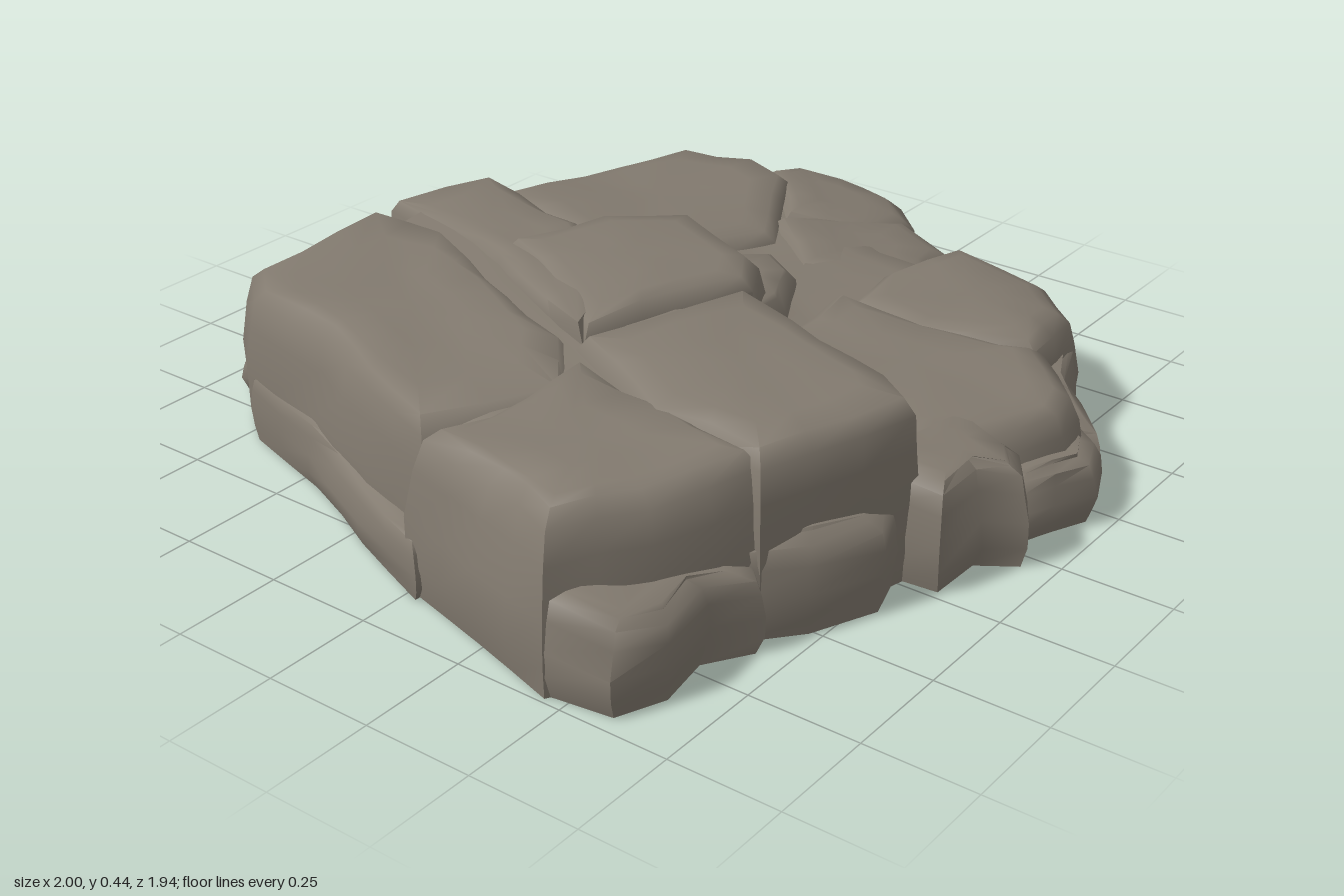
import * as THREE from 'three';
import { mergeVertices, toCreasedNormals } from 'three/addons/utils/BufferGeometryUtils.js';

const stone = new THREE.MeshStandardMaterial({ color: 0x827a6f });
stone.name = 'greyBrownStone';

// Smooth, repeatable unevenness in about -1..1
const wave = (x, y, z) =>
  0.5 * Math.sin(7.1 * x + 3.3 * z + 5.0 * y + 1.0) +
  0.3 * Math.sin(-6.3 * x + 11.7 * z + 9.0 * y) +
  0.2 * Math.sin(17.0 * x + 13.0 * z - 12.0 * y + 2.0);

// A block of stone: stacked rings around an outline of [x, z] points.
// h is the height at the middle, sx and sz tilt the top, lean draws the top in.
function block(name, outline, h, sx = 0, sz = 0, lean = 0) {
  const n0 = outline.length;
  let area = 0, cx = 0, cz = 0;
  outline.forEach(([x, z], i) => {
    const [u, v] = outline[(i + 1) % n0];
    const c = x * v - u * z;
    area += c; cx += (x + u) * c; cz += (z + v) * c;
  });
  cx /= 3 * area; cz /= 3 * area;
  const pts = area > 0 ? outline.slice().reverse() : outline;

  // Split every side so that the stone can bulge
  const ring = [];
  pts.forEach(([x, z], i) => {
    const [u, v] = pts[(i + 1) % n0];
    const parts = Math.max(1, Math.round(Math.hypot(u - x, v - z) / 0.13));
    for (let k = 0; k < parts; k++) ring.push([x + (u - x) * k / parts, z + (v - z) * k / parts]);
  });
  const n = ring.length;
  const topAt = (x, z) => h + sx * (x - cx) + sz * (z - cz) + 0.014 * wave(x, h, z);

  // [inset, share of the height, drop]
  const levels = [[0.012, 0, 0], [0, 0.2, 0], [-0.004, 0.45, 0], [0.006, 0.72, 0],
    [0.016, 0.9, 0], [0.045, 1, 0.008]];
  const pos = [], idx = [];
  const put = (x, y, z) => pos.push(x, Math.max(0, y), z);
  levels.forEach(([inset, share, drop]) => {
    for (const [x, z] of ring) {
      const d = Math.hypot(x - cx, z - cz);
      const bump = share > 0 ? 0.014 * wave(x * 1.6, share * 0.6, z * 1.6) : 0;
      const s = 1 - (inset + bump + lean * share) / d;
      const px = cx + (x - cx) * s, pz = cz + (z - cz) * s;
      put(px, share * topAt(px, pz) - drop, pz);
    }
  });
  for (const t of [0.66, 0.33]) {
    for (const [x, z] of ring) {
      const px = cx + (x - cx) * t, pz = cz + (z - cz) * t;
      put(px, topAt(px, pz), pz);
    }
  }
  const rows = levels.length + 2;
  for (let r = 0; r < rows - 1; r++) {
    for (let i = 0; i < n; i++) {
      const a = r * n + i, b = r * n + (i + 1) % n;
      idx.push(a, b, b + n, a, b + n, a + n);
    }
  }
  // Top and bottom caps
  const top = rows * n;
  put(cx, topAt(cx, cz), cz);
  put(cx, 0.004, cz);
  for (let i = 0; i < n; i++) {
    const j = (i + 1) % n;
    idx.push(top, (rows - 1) * n + i, (rows - 1) * n + j, top + 1, j, i);
  }
  const g = new THREE.BufferGeometry();
  g.setAttribute('position', new THREE.Float32BufferAttribute(pos, 3));
  g.setIndex(idx);
  const mesh = new THREE.Mesh(toCreasedNormals(mergeVertices(g), 1.0), stone);
  mesh.name = name;
  return mesh;
}

export function createModel() {
  const group = new THREE.Group();
  group.name = 'rockSlab';
  group.add(
    // Cores that leave only shallow cracks between the blocks
    block('highCore', [[-0.8, 0.04], [-0.62, -0.4], [-0.5, -0.76], [0.12, -0.7], [0.04, -0.3],
      [0.17, -0.1], [0.1, 0.13], [-0.04, 0.2], [-0.2, 0.68], [-0.55, 0.62], [-0.92, 0.45]], 0.375, 0.05),
    block('lowCore', [[-0.1, 0.66], [0, 0.1], [0.05, -0.62], [0.55, -0.58], [0.74, -0.5], [0.82, -0.3],
      [0.8, -0.1], [0.68, 0.15], [0.66, 0.32], [0.66, 0.52], [0.4, 0.66], [0.2, 0.78], [0, 0.74]],
      0.28, -0.06, -0.06),

    // High blocks along the right-hand side
    block('frontCornerBlock', [[-0.87, 0], [-0.62, 0.06], [-0.42, 0.08], [-0.44, 0.4], [-0.54, 0.68],
      [-0.8, 0.58], [-1, 0.46]], 0.39, 0.03, -0.01, 0.03),
    block('frontMiddleBlock', [[-0.4, 0.05], [-0.01, 0.2], [-0.05, 0.38], [-0.15, 0.7], [-0.22, 0.78],
      [-0.36, 0.75], [-0.59, 0.66], [-0.57, 0.36]], 0.415, 0.06, -0.01),
    block('backCornerBlock', [[-0.5, -0.84], [-0.1, -0.81], [-0.08, -0.6], [-0.2, -0.3], [-0.38, 0.06],
      [-0.57, 0.2], [-0.85, 0.04], [-0.77, -0.2], [-0.67, -0.45], [-0.59, -0.74]], 0.385, 0.04, 0.01, 0.02),
    block('backStripBlock', [[-0.04, -0.82], [0.2, -0.72], [0.09, -0.3], [-0.14, 0], [-0.38, 0.06],
      [-0.12, -0.58]], 0.405, 0.02, 0.05),
    block('middleBlock', [[0.1, -0.28], [0.25, -0.12], [0.15, 0.15], [0.04, 0.21], [-0.38, 0.06],
      [-0.14, -0.38]], 0.43, 0.05),

    // Lower blocks along the left-hand side
    block('smallStepBlock', [[0.15, -0.17], [0.42, 0], [0.35, 0.12], [0.15, 0.22], [0, 0.2]], 0.335, -0.1, -0.05),
    block('backLowBlock', [[0.16, -0.7], [0.58, -0.64], [0.8, -0.55], [0.85, -0.35], [0.8, -0.22],
      [0.5, -0.04], [0.25, -0.13], [0.08, -0.32]], 0.33, -0.02, -0.06, 0.01),
    block('sideLowBlock', [[0.96, -0.34], [1, -0.2], [1, 0], [0.9, 0.1], [0.72, 0.06], [0.6, -0.12],
      [0.84, -0.34]], 0.265, -0.15, -0.15),
    block('sideFrontLowBlock', [[0.91, 0.06], [0.85, 0.25], [0.6, 0.3], [0.38, 0.06], [0.58, -0.15],
      [0.76, -0.05]], 0.255, -0.12, -0.2),
    block('frontSideLowBlock', [[0.76, 0.28], [0.75, 0.55], [0.6, 0.7], [0.37, 0.72], [0.27, 0.45],
      [0.32, 0.25], [0.5, 0.23]], 0.275, -0.05, -0.05),
    block('frontLowBlock', [[-0.04, 0.18], [0.36, 0.18], [0.4, 0.68], [0.42, 0.75], [0.28, 0.89],
      [0.19, 0.91], [-0.02, 0.84], [-0.18, 0.7]], 0.28, 0, -0.06, 0.03),

    // Rubble at the foot
    block('cornerFootStone', [[-0.99, 0.45], [-0.97, 0.6], [-0.86, 0.65], [-0.72, 0.63], [-0.62, 0.69],
      [-0.5, 0.58], [-0.8, 0.35]], 0.21, 0, -0.2),
    block('middleFootStone', [[-0.62, 0.64], [-0.52, 0.73], [-0.36, 0.8], [-0.24, 0.76], [-0.15, 0.6],
      [-0.5, 0.5]], 0.22, 0, -0.2),
    block('frontFootStone', [[-0.26, 0.64], [-0.24, 0.85], [-0.1, 0.86], [-0.04, 0.94], [0.04, 0.89],
      [0.1, 0.7]], 0.26, 0, -0.15),
    block('frontLowFootStone', [[-0.02, 0.8], [0.02, 0.88], [0.2, 0.96], [0.29, 0.92], [0.4, 0.7]], 0.17, 0, -0.15),
    block('frontSideFootStone', [[0.2, 0.7], [0.33, 0.9], [0.47, 0.76], [0.62, 0.69], [0.5, 0.5]], 0.19, 0, -0.2),
    block('sideFootStone', [[0.68, 0.08], [0.68, 0.34], [0.79, 0.29], [0.87, 0.22], [0.93, 0.06]], 0.18, -0.1),
    block('backSideFootStone', [[0.58, -0.64], [0.83, -0.55], [0.9, -0.36], [0.93, -0.2], [0.7, -0.3]], 0.19, -0.15),
    block('backFootStone', [[-0.52, -0.76], [-0.47, -0.88], [-0.4, -0.96], [-0.3, -0.94], [-0.2, -0.86],
      [-0.2, -0.72]], 0.16, 0, 0.8),
    block('backLedge', [[-0.25, -0.7], [-0.22, -0.84], [-0.02, -0.82], [0.22, -0.72], [0.2, -0.6]], 0.16, 0, 0.1),
    block('sideLedge', [[-0.6, -0.72], [-0.68, -0.46], [-0.8, -0.2], [-0.89, 0.04], [-0.6, 0.05],
      [-0.45, -0.5]], 0.16, 0.1)
  );
  return group;
}
